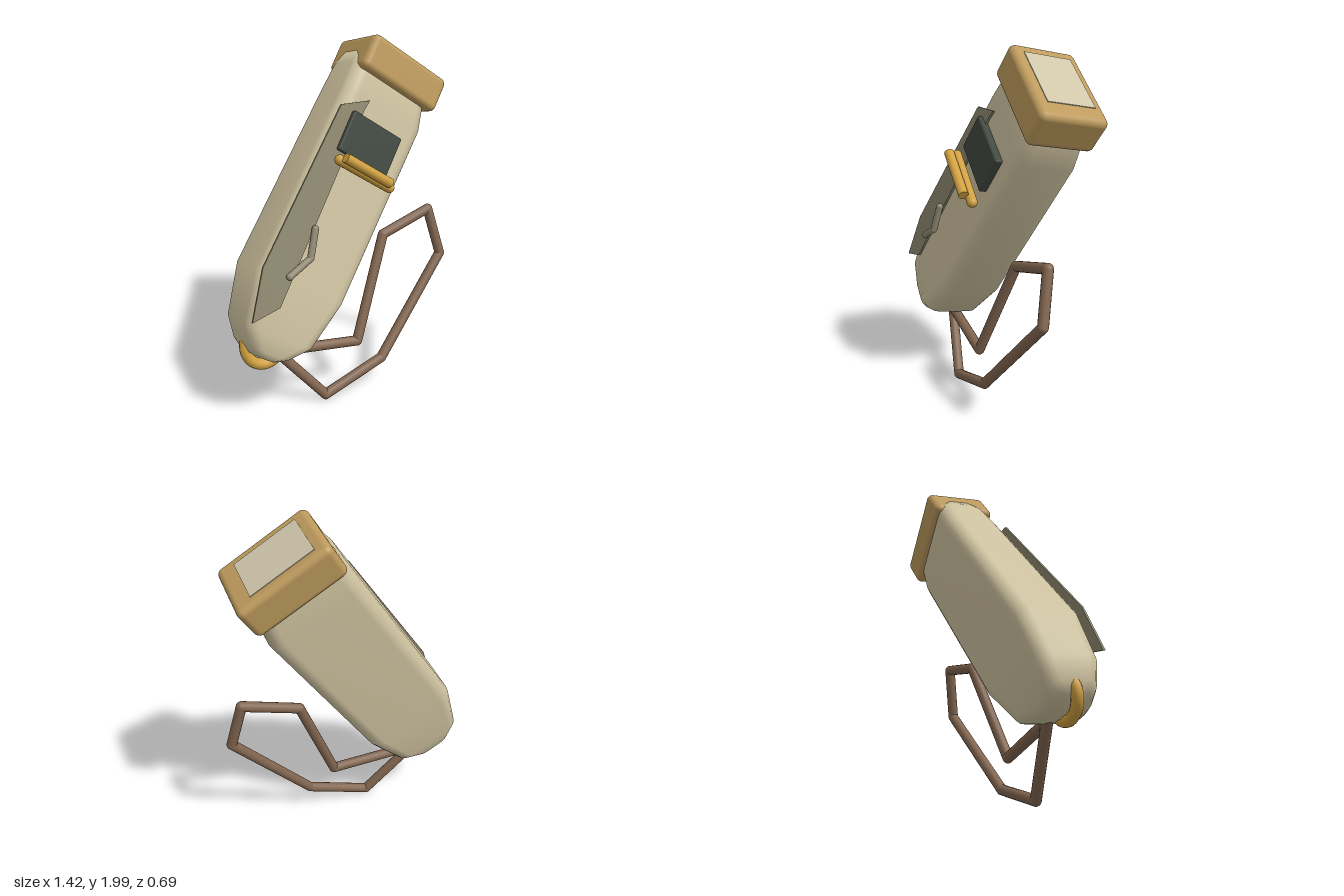
import * as THREE from 'three';
import { RoundedBoxGeometry } from 'three/addons/geometries/RoundedBoxGeometry.js';

const paint = (name, color) => {
  const m = new THREE.MeshStandardMaterial({ color });
  m.name = name;
  return m;
};

// Smooth hull from rounded-rectangle sections [v, left, right, back, front], listed top to bottom
function loftGeometry(sections, radius, steps = 4) {
  const pos = [], index = [];
  const count = 4 * (steps + 1);
  for (const [v, l, r, b, f] of sections) {
    const rad = Math.min(radius, (r - l) / 2, (f - b) / 2);
    for (let k = 0; k < 4; k++) {
      const cx = k === 0 || k === 3 ? r - rad : l + rad;
      const cz = k < 2 ? f - rad : b + rad;
      for (let s = 0; s <= steps; s++) {
        const a = (k + s / steps) * Math.PI / 2;
        pos.push(cx + rad * Math.cos(a), v, cz + rad * Math.sin(a));
      }
    }
  }
  for (let i = 0; i < sections.length - 1; i++) {
    for (let j = 0; j < count; j++) {
      const a = i * count + j, b = i * count + (j + 1) % count;
      index.push(a, b, a + count, b, b + count, a + count);
    }
  }
  const g = new THREE.BufferGeometry();
  g.setAttribute('position', new THREE.Float32BufferAttribute(pos, 3));
  g.setIndex(index);
  g.computeVertexNormals();
  return g;
}

// Round rod following straight segments, with ball joints
function rod(name, points, radius, material, closed = false) {
  const group = new THREE.Group();
  group.name = name;
  const pts = points.map(p => new THREE.Vector3(...p));
  const up = new THREE.Vector3(0, 1, 0);
  pts.forEach((p, i) => {
    const joint = new THREE.Mesh(new THREE.SphereGeometry(radius, 14, 10), material);
    joint.name = name + 'Joint';
    joint.position.copy(p);
    group.add(joint);
    if (i === pts.length - 1 && !closed) return;
    const q = pts[(i + 1) % pts.length];
    const dir = q.clone().sub(p);
    const seg = new THREE.Mesh(new THREE.CylinderGeometry(radius, radius, dir.length(), 14, 1, true), material);
    seg.name = name + 'Segment';
    seg.position.copy(p).add(q).multiplyScalar(0.5);
    seg.quaternion.setFromUnitVectors(up, dir.normalize());
    group.add(seg);
  });
  return group;
}

export function createModel() {
  const cream = paint('cream shell', 0xcfc3a0);
  const tan = paint('tan cap', 0xbd9a5c);
  const gold = paint('gold metal', 0xd0a040);
  const brown = paint('brown cord', 0x826650);
  const dark = paint('dark screen', 0x3f473f);
  const olive = paint('olive plate', 0x8e886f);
  const grey = paint('grey hook', 0x938c76);
  const pale = paint('pale panel', 0xcfc6aa);

  const model = new THREE.Group();
  model.name = 'model';

  // Tilted housing holding everything but the cord
  const housing = new THREE.Group();
  housing.name = 'housing';
  housing.rotation.set(-0.205, -0.385, -0.66);
  model.add(housing);
  const add = (name, geometry, material, x = 0, y = 0, z = 0) => {
    const m = new THREE.Mesh(geometry, material);
    m.name = name;
    m.position.set(x, y, z);
    housing.add(m);
    return m;
  };

  // Body, tapering towards the foot
  add('body', loftGeometry([
    [1.69, -0.65, -0.65, 0.2, 0.2],
    [1.68, -0.895, -0.42, 0.07, 0.34],
    [1.60, -0.908, -0.40, 0.05, 0.36],
    [1.45, -0.912, -0.365, 0.035, 0.37],
    [0.40, -0.945, -0.395, -0.005, 0.37],
    [0.12, -0.875, -0.455, 0.005, 0.355],
    [0.02, -0.80, -0.54, 0.03, 0.325],
    [-0.015, -0.75, -0.60, 0.06, 0.30],
    [-0.02, -0.67, -0.67, 0.18, 0.18],
  ], 0.075), cream);

  // Cap with its inset panel
  add('cap', new RoundedBoxGeometry(0.53, 0.2, 0.375, 4, 0.035), tan, -0.63, 1.675, 0.215);
  add('capPanel', new THREE.BoxGeometry(0.36, 0.008, 0.265), pale, -0.645, 1.775, 0.212);

  // Side plate on the front
  const outline = [[-0.886, 0.138], [-0.955, 0.41], [-0.915, 1.34], [-0.768, 1.44], [-0.776, 1.38], [-0.774, 0.26]];
  const plate = new THREE.Shape(outline.map(p => new THREE.Vector2(...p)));
  add('sidePlate', new THREE.ExtrudeGeometry(plate, { depth: 0.012, bevelEnabled: false }), olive, 0, 0, 0.374);

  // Screen
  add('screen', new RoundedBoxGeometry(0.335, 0.225, 0.045, 2, 0.01), dark, -0.672, 1.233, 0.388);

  // Paired bars below the screen
  housing.add(rod('longBar', [[-0.82, 1.07, 0.43], [-0.478, 1.07, 0.435]], 0.028, gold));
  const bar = add('shortBar', new THREE.CylinderGeometry(0.027, 0.027, 0.31, 18), gold, -0.665, 1.083, 0.48);
  bar.rotation.z = Math.PI / 2;

  // Bent hook
  housing.add(rod('hook', [[-0.80, 0.423, 0.395], [-0.733, 0.552, 0.4], [-0.779, 0.70, 0.405]], 0.019, grey));

  // Ring at the foot
  add('ring', new THREE.TorusGeometry(0.108, 0.031, 14, 40), gold, -0.67, 0.05, 0.185);

  // Cord loop hanging from the ring
  model.add(rod('cord', [
    [-0.43, 0.345, -0.11], [0.01, 0.295, 0.125], [0.27, 0.87, 0.12], [0.57, 0.97, 0.24],
    [0.605, 0.695, 0.315], [0.13, 0.16, 0.215], [-0.215, 0.03, 0.065],
  ], 0.029, brown, true));

  return model;
}
